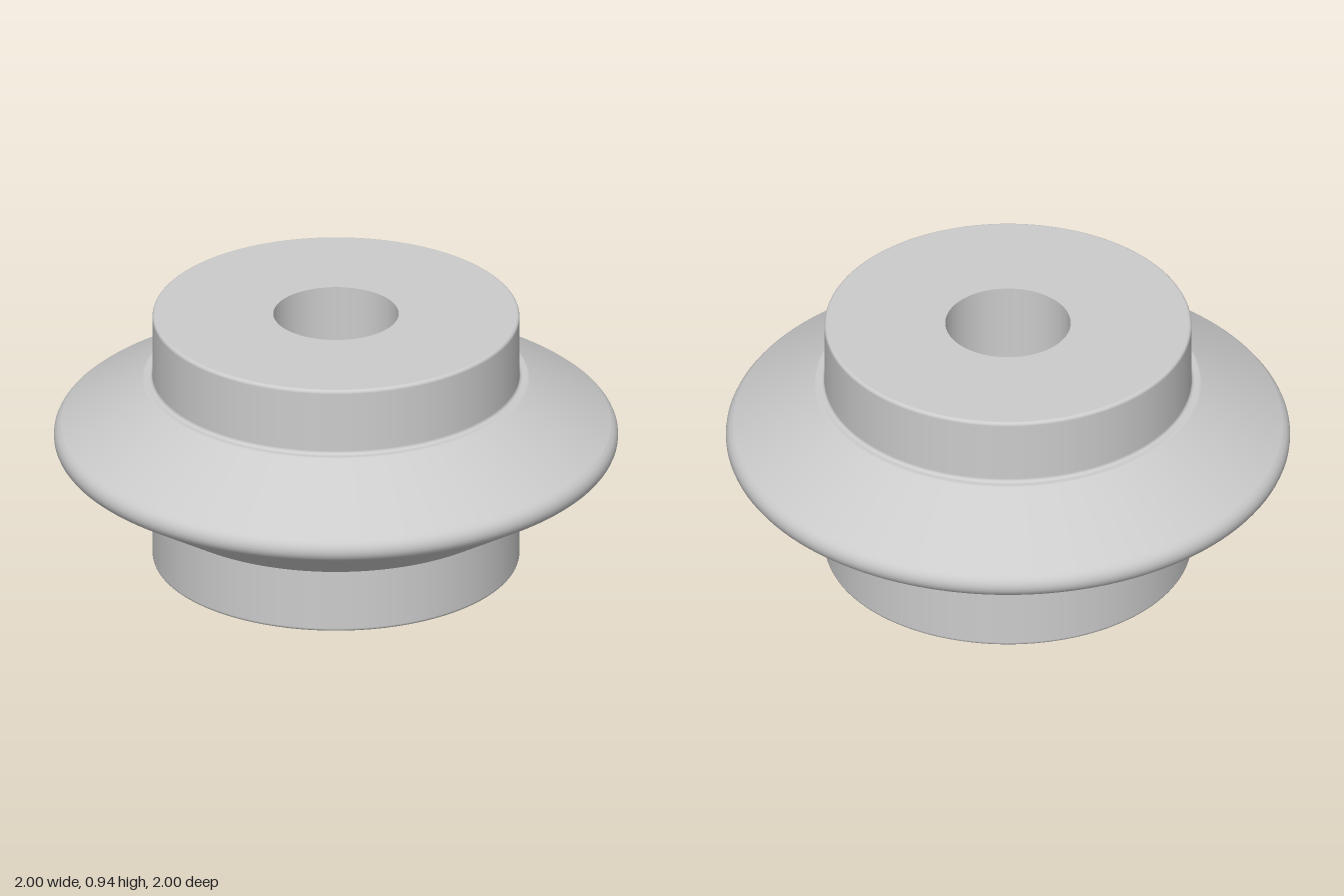
import * as THREE from 'three';
import { mergeGeometries } from 'three/addons/utils/BufferGeometryUtils.js';

const SIDES = 128;
const HEIGHT = 0.94;

// Closed profile with rounded corners, revolved run by run so that flat
// faces stay cleanly shaded and fillets stay smooth.
function revolve(corners) {
  const n = corners.length;
  const rounded = corners.map(([x, y, r], i) => {
    const c = new THREE.Vector2(x, y);
    if (!r) return [c];
    const toPrev = new THREE.Vector2(...corners[(i + n - 1) % n].slice(0, 2)).sub(c).normalize();
    const toNext = new THREE.Vector2(...corners[(i + 1) % n].slice(0, 2)).sub(c).normalize();
    const half = Math.acos(toPrev.dot(toNext)) / 2;
    const reach = r / Math.tan(half);
    const centre = toPrev.clone().add(toNext).setLength(r / Math.sin(half)).add(c);
    const start = toPrev.multiplyScalar(reach).add(c).sub(centre);
    const end = toNext.multiplyScalar(reach).add(c).sub(centre);
    const sweep = Math.atan2(start.cross(end), start.dot(end));
    const steps = 8;
    return Array.from({ length: steps + 1 }, (_, k) =>
      start.clone().rotateAround(new THREE.Vector2(), (sweep * k) / steps).add(centre));
  });

  const runs = [];
  rounded.forEach((arc, i) => {
    if (arc.length > 1) runs.push(arc);
    runs.push([arc[arc.length - 1], rounded[(i + 1) % n][0]]);
  });
  return mergeGeometries(runs.map((run) => new THREE.LatheGeometry(run, SIDES)));
}

export function createModel() {
  const group = new THREE.Group();
  group.name = 'bevelledRoller';

  // Lower half of the outline: radius, height, corner radius
  const lower = [
    [0.222, 0, 0],        // bore edge
    [0.65, 0, 0.012],     // hub rim
    [0.65, 0.247, 0.012], // hub meets shoulder
    [0.68, 0.247, 0.02],  // shoulder meets bevel
  ];
  const upper = lower.map(([x, y, r]) => [x, HEIGHT - y, r]).reverse();
  const tip = [1.045, HEIGHT / 2, 0.05]; // rounded edge of the flange

  const material = new THREE.MeshStandardMaterial({ color: 0xcccccc });
  const wheel = new THREE.Mesh(revolve([...lower, tip, ...upper]), material);
  wheel.name = 'wheel';
  group.add(wheel);
  return group;
}
